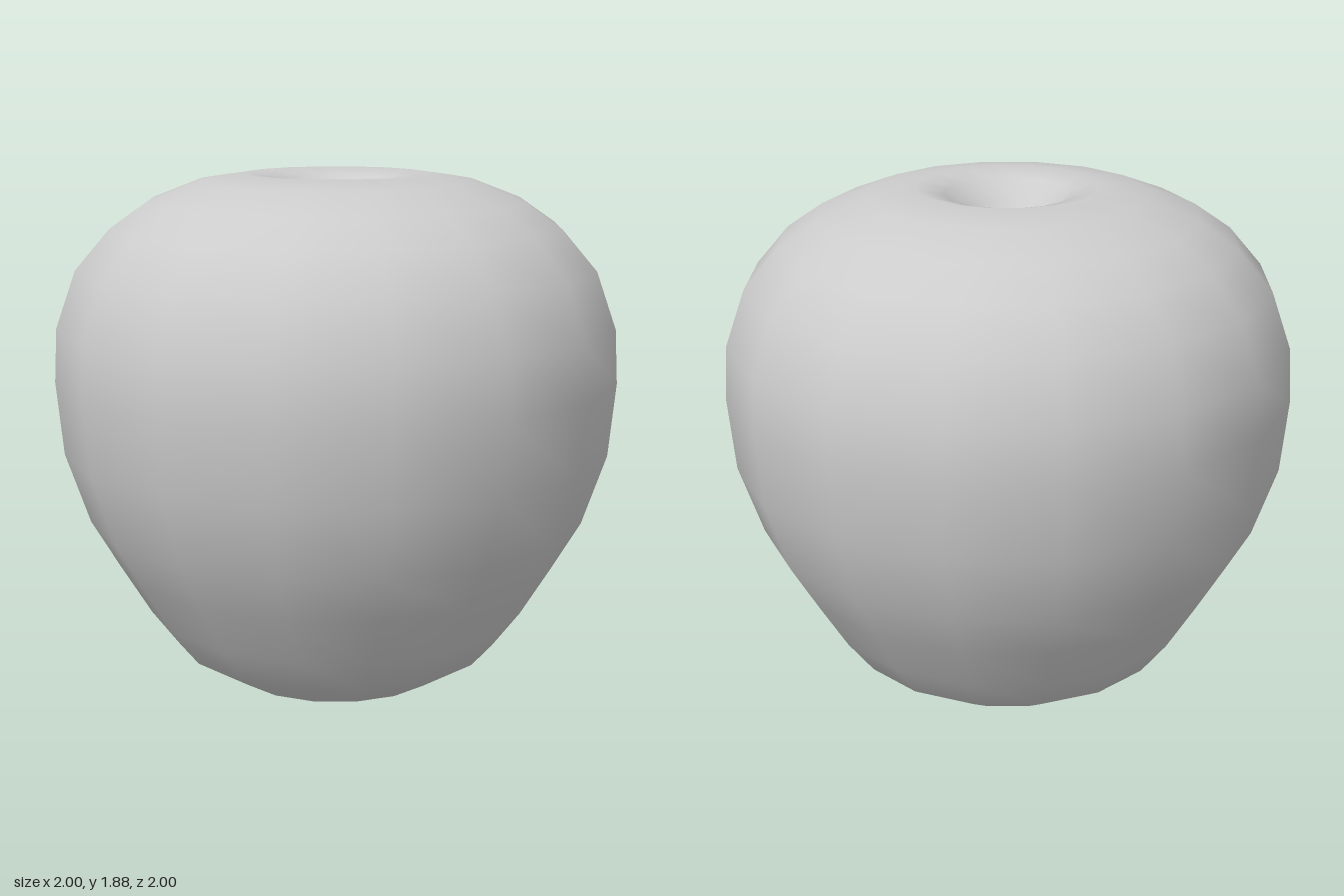
import * as THREE from 'three';

export function createModel() {
  const group = new THREE.Group();
  group.name = 'apple';

  // Half outline from the bottom dimple up and over into the stem dimple
  const profile = [
    [0, 0.16], [0.08, 0.13], [0.14, 0.05], [0.21, 0], [0.38, 0.06],
    [0.58, 0.18], [0.68, 0.31], [0.79, 0.49], [0.89, 0.66], [0.975, 0.91],
    [1, 1.17], [0.99, 1.36], [0.92, 1.56], [0.8, 1.7], [0.67, 1.79],
    [0.49, 1.86], [0.32, 1.885], [0.22, 1.86], [0.16, 1.79], [0.09, 1.73], [0, 1.71],
  ].map(([r, y]) => new THREE.Vector2(r, y));

  // Smooth-shaded body with sixteen sides
  const body = new THREE.Mesh(
    new THREE.LatheGeometry(profile, 16),
    new THREE.MeshStandardMaterial({ color: 0xcccccc })
  );
  body.name = 'fruitBody';
  group.add(body);

  return group;
}
